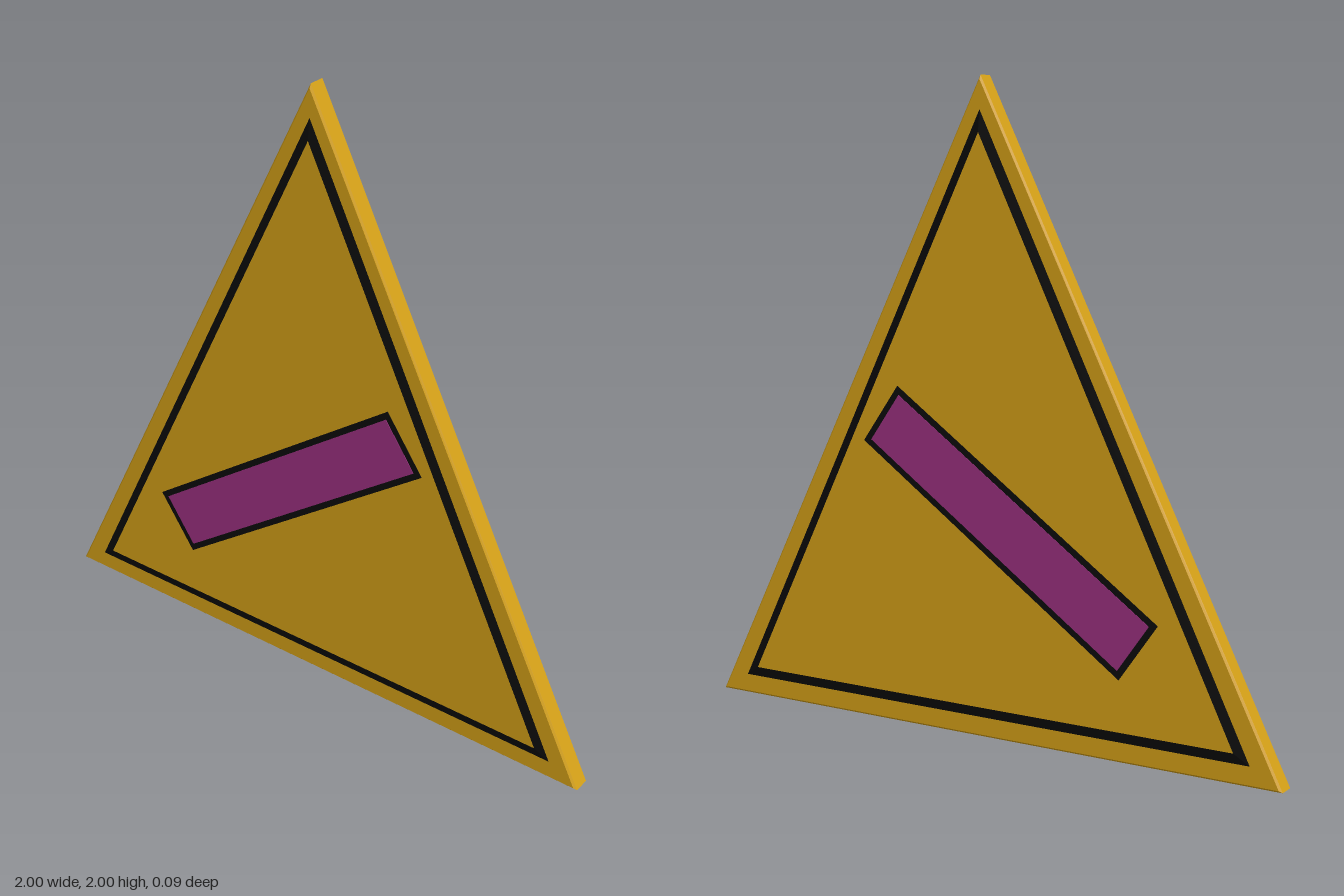
import * as THREE from 'three';

const gold = new THREE.MeshStandardMaterial({ color: 0xd4a017 });
gold.name = 'gold';
const black = new THREE.MeshStandardMaterial({ color: 0x0b0b0b });
black.name = 'black';
const purple = new THREE.MeshStandardMaterial({ color: 0x9b3080 });
purple.name = 'purple';

// Triangle ring: half width, base height, apex height, depth
const ring = (w, base, apex, z) => [[-w, base, z], [w, base, z], [0, apex, z]];

// Flat-faced skin through a list of triangle rings, optionally closed at the last one
function loft(rings, capped = false) {
  const pos = [];
  const face = (...pts) => pts.forEach((p) => pos.push(...p));
  for (let r = 0; r < rings.length - 1; r++) {
    const a = rings[r], b = rings[r + 1];
    for (let i = 0; i < 3; i++) {
      const j = (i + 1) % 3;
      face(a[i], a[j], b[j]);
      face(a[i], b[j], b[i]);
    }
  }
  if (capped) face(...rings[rings.length - 1]);
  const geo = new THREE.BufferGeometry();
  geo.setAttribute('position', new THREE.Float32BufferAttribute(pos, 3));
  geo.computeVertexNormals();
  return geo;
}

function add(parent, name, geo, mat) {
  const mesh = new THREE.Mesh(geo, mat);
  mesh.name = name;
  parent.add(mesh);
  return mesh;
}

export function createModel() {
  const model = new THREE.Group();
  model.name = 'triangularSign';

  const frameOuter = ring(0.9, 0.062, 1.9, 0.032);
  const frameInner = ring(0.852, 0.094, 1.834, 0.04);

  // Two identical halves back to back
  ['front', 'back'].forEach((side, i) => {
    const half = new THREE.Group();
    half.name = side + 'Half';
    half.rotation.y = i * Math.PI;
    // Outer edge, small bevel and flat rim
    add(half, side + 'Rim', loft([
      ring(1, 0, 2, 0),
      ring(1, 0, 2, 0.026),
      ring(0.99, 0.006, 1.987, 0.032),
      frameOuter,
    ]), gold);
    // Sloping border and raised centre panel
    add(half, side + 'Border', loft([frameOuter, frameInner]), black);
    add(half, side + 'Panel', loft([frameInner], true), gold);
    model.add(half);
  });

  // Diagonal bar running through both faces, with a dark outline
  const bar = new THREE.Group();
  bar.name = 'diagonalBar';
  bar.position.set(-0.096, 0.658, 0);
  bar.rotation.z = 0.613;
  add(bar, 'barOutline', new THREE.BoxGeometry(1.1, 0.218, 0.083), black);
  add(bar, 'barFill', new THREE.BoxGeometry(1.06, 0.178, 0.086), purple);
  model.add(bar);

  return model;
}
